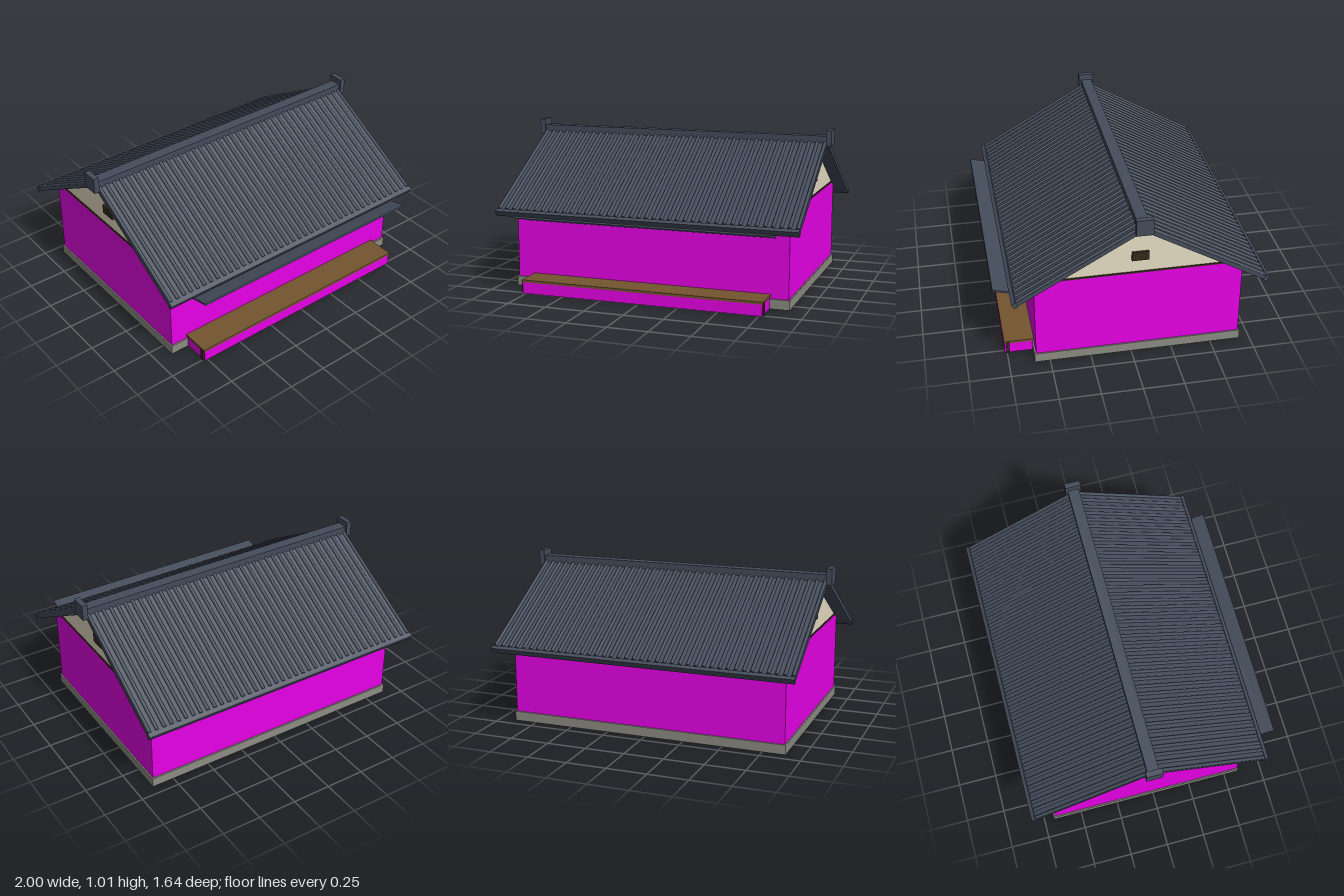
import * as THREE from 'three';

const mat = (name, color) => Object.assign(new THREE.MeshStandardMaterial({ color }), { name });

export function createModel() {
  const root = new THREE.Group();
  root.name = 'house';
  const wall = mat('magenta wall', 0xff00ff);
  const stone = mat('grey stone', 0x8d8d83);
  const tile = mat('slate tile', 0x444c5b);
  const plaster = mat('cream plaster', 0xf0e6cb);
  const wood = mat('deck wood', 0x74552f);
  const dark = mat('dark timber', 0x36291a);
  const C = -0.048; // depth of the ridge line

  const add = (parent, name, geometry, material) => {
    const m = new THREE.Mesh(geometry, material);
    m.name = name;
    parent.add(m);
    return m;
  };
  // Box given by its minimum and maximum on each axis
  const box = (parent, name, material, [x0, x1], [y0, y1], [z0, z1]) => {
    const m = add(parent, name, new THREE.BoxGeometry(x1 - x0, y1 - y0, z1 - z0), material);
    m.position.set((x0 + x1) / 2, (y0 + y1) / 2, (z0 + z1) / 2);
    return m;
  };

  // Base and walls
  box(root, 'foundation', stone, [-0.893, 0.893], [0, 0.06], [-0.686, 0.594]);
  box(root, 'walls', wall, [-0.885, 0.885], [0.06, 0.575], [-0.676, 0.584]);

  // Gable block with a dark beam below and a vent at each end
  const tri = new THREE.Shape([[-0.582, 0.576], [0.582, 0.576], [0, 0.914]].map(p => new THREE.Vector2(...p)));
  const gable = new THREE.ExtrudeGeometry(tri, { depth: 1.764, bevelEnabled: false });
  gable.translate(0, 0, -0.882).rotateY(Math.PI / 2);
  add(root, 'gables', gable, plaster).position.z = C;
  box(root, 'gableBeam', dark, [-0.888, 0.888], [0.574, 0.584], [C - 0.59, C + 0.59]);
  box(root, 'gableVents', dark, [-0.896, 0.896], [0.667, 0.725], [C - 0.051, C + 0.051]);

  // Two ribbed roof slopes, mirrored across the ridge
  const L = 0.888;
  const ribs = 40;
  const ribGeo = new THREE.CylinderGeometry(0.011, 0.011, L - 0.03, 8).rotateX(Math.PI / 2);
  for (const turn of [0, Math.PI]) {
    const side = new THREE.Group();
    side.name = turn ? 'backRoof' : 'frontRoof';
    side.position.set(0, 0.943, C);
    side.rotation.y = turn;
    const slope = new THREE.Group();
    slope.name = 'slope';
    slope.rotation.x = Math.PI / 6;
    side.add(slope);
    root.add(side);
    box(slope, 'roofSlab', tile, [-0.968, 0.968], [-0.027, 0], [0, L]);
    box(slope, 'eaveBoard', tile, [-0.97, 0.97], [-0.031, 0.006], [L - 0.024, L + 0.002]);
    for (let i = 0; i < ribs; i++) {
      const rib = add(slope, 'roofRib', ribGeo, tile);
      rib.position.set(-0.955 + (1.91 * i) / (ribs - 1), 0, (L - 0.03) / 2);
    }
  }

  // Ridge and its end blocks
  box(root, 'ridge', tile, [-0.97, 0.97], [0.92, 0.967], [C - 0.036, C + 0.036]);
  for (const s of [-1, 1]) {
    box(root, 'ridgeEnd', tile, [s * 0.9825 - 0.0175, s * 0.9825 + 0.0175], [0.905, 1.006], [C - 0.051, C + 0.051]);
  }

  // Canopy rising away from the front wall
  const canopy = add(root, 'canopy', new THREE.BoxGeometry(1.6, 0.012, 0.245), tile);
  canopy.position.set(0, 0.464, 0.7);
  canopy.rotation.x = -Math.atan(0.06 / 0.235);

  // Front veranda with corner posts
  box(root, 'verandaRiser', wall, [-0.771, 0.771], [0, 0.072], [0.58, 0.764]);
  box(root, 'verandaDeck', wood, [-0.776, 0.776], [0.072, 0.087], [0.58, 0.766]);
  for (const s of [-1, 1]) {
    box(root, 'verandaPost', dark, [s * 0.772 - 0.008, s * 0.772 + 0.008], [0, 0.078], [0.734, 0.754]);
  }
  return root;
}
